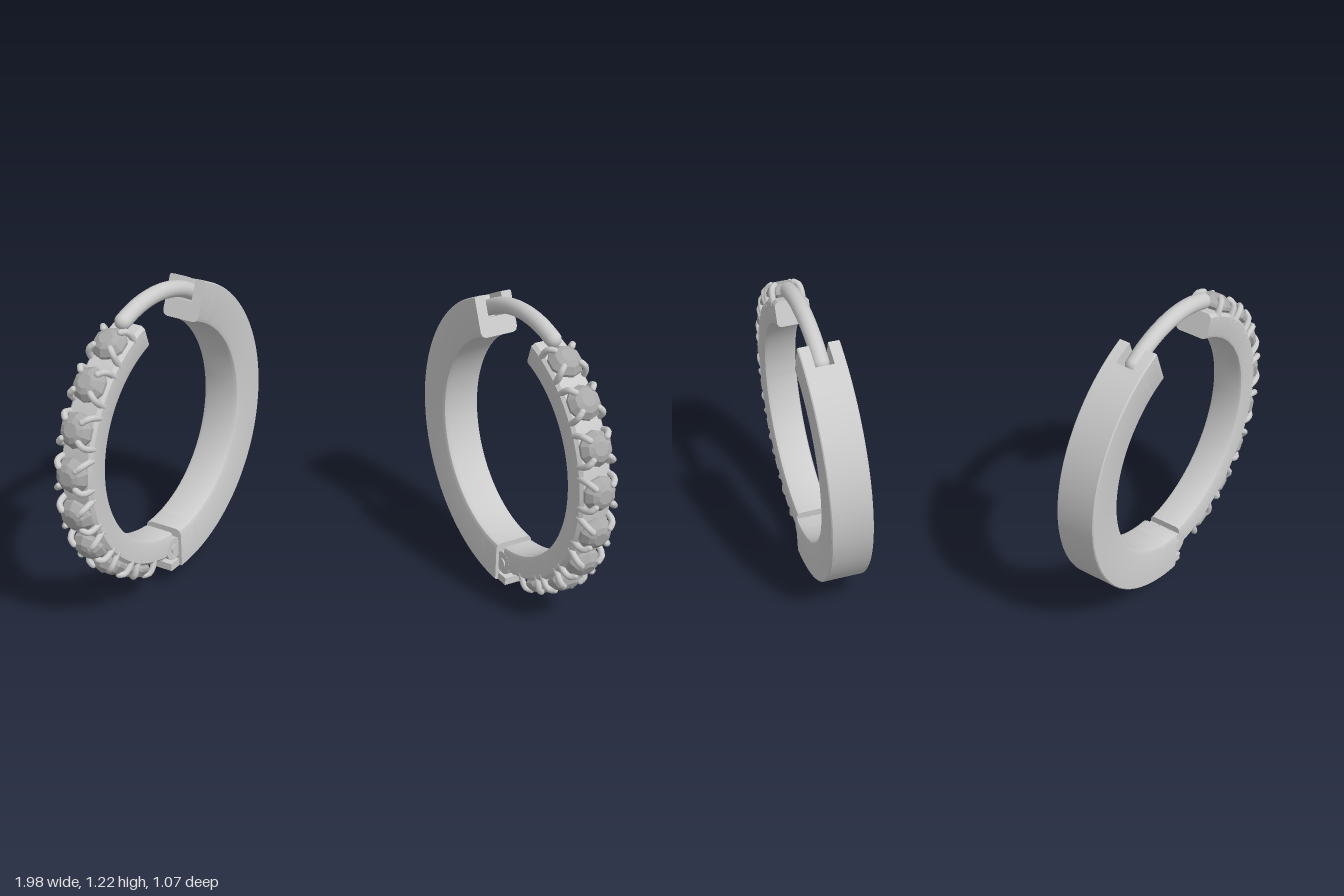
import * as THREE from 'three';
import { toCreasedNormals } from 'three/addons/utils/BufferGeometryUtils.js';

const metal = new THREE.MeshStandardMaterial({ color: 0xcccccc });
const metalThin = new THREE.MeshStandardMaterial({ color: 0xcccccc, side: THREE.DoubleSide });
const stone = new THREE.MeshStandardMaterial({ color: 0xaaaaaa, flatShading: true });
const rad = THREE.MathUtils.degToRad;

function add(parent, name, geometry, material = metal) {
  const mesh = new THREE.Mesh(geometry, material);
  mesh.name = name;
  parent.add(mesh);
  return mesh;
}

// Point in the hoop plane: angle 0 is the front, 90 the top; x is the hoop axis
const onHoop = (r, deg, x = 0) => new THREE.Vector3(x, r * Math.sin(rad(deg)), r * Math.cos(rad(deg)));

// Cross-section (radius, axial), counter-clockwise, with bevelled edges and an optional outer notch
function section(r0, r1, width, bevelIn, bevelOut, notchWidth = 0, notchDepth = 0) {
  const h = width / 2, n = notchWidth / 2, b = bevelIn, c = bevelOut;
  const pts = [[r0, h - b], [r0, -h + b], [r0 + b * 0.3, -h + b * 0.3], [r0 + b, -h], [r1 - c, -h], [r1, -h + c]];
  if (n) pts.push([r1, -n], [r1 - notchDepth, -n], [r1 - notchDepth, n], [r1, n]);
  pts.push([r1, h - c], [r1 - c, h], [r0 + b, h], [r0 + b * 0.3, h - b * 0.3]);
  return pts.map(p => new THREE.Vector2(...p));
}

// Sweep a cross-section along the hoop between two angles and close both ends
function arc(parent, name, pts, from, to) {
  const g = new THREE.Group();
  g.name = name;
  parent.add(g);
  const segments = Math.max(2, Math.ceil((to - from) / 2.5));
  const sweep = new THREE.LatheGeometry([...pts, pts[0]], segments, rad(-to), rad(to - from));
  sweep.rotateZ(-Math.PI / 2);
  add(g, name + 'Surface', toCreasedNormals(sweep, 0.6));
  for (const deg of [from, to]) {
    const s = Math.sin(rad(deg)), c = Math.cos(rad(deg));
    const cap = new THREE.ShapeGeometry(new THREE.Shape(pts));
    cap.applyMatrix4(new THREE.Matrix4().makeBasis(
      new THREE.Vector3(0, s, c), new THREE.Vector3(1, 0, 0), new THREE.Vector3(0, c, -s)));
    add(g, name + 'End', cap, metalThin);
  }
}

// Cut stone held by four claws leaning over its crown
function setStone(parent, deg) {
  const g = new THREE.Group();
  g.name = 'stoneSetting';
  g.position.copy(onHoop(0.525, deg));
  g.rotation.x = rad(90 - deg);
  parent.add(g);
  const profile = [[0, -0.06], [0.066, -0.004], [0.066, 0.008], [0.048, 0.033], [0.027, 0.043], [0, 0.043]];
  add(g, 'stone', new THREE.LatheGeometry(profile.map(p => new THREE.Vector2(...p)), 10), stone);
  for (const sx of [-1, 1]) for (const sz of [-1, 1]) {
    const path = new THREE.CatmullRomCurve3([[0.056, -0.04], [0.055, 0.005], [0.049, 0.025], [0.036, 0.033]]
      .map(([d, y]) => new THREE.Vector3(sx * d, y, sz * d)));
    add(g, 'claw', new THREE.TubeGeometry(path, 8, 0.012, 8));
    add(g, 'clawTip', new THREE.SphereGeometry(0.012, 8, 6)).position.copy(path.getPoint(1));
  }
}

function hinge(parent) {
  const g = new THREE.Group();
  g.name = 'hinge';
  g.position.set(0, -0.485, 0.028);
  parent.add(g);
  const barrel = (name, r, length, x) => {
    const geo = new THREE.CylinderGeometry(r, r, length, 24);
    geo.rotateZ(Math.PI / 2);
    add(g, name, geo).position.x = x;
  };
  for (const x of [-0.045, 0, 0.045]) barrel('knuckle', 0.045, 0.041, x);
  barrel('hingePin', 0.018, 0.142, 0);
  add(g, 'hingeLeaf', new THREE.BoxGeometry(0.13, 0.03, 0.07)).position.set(0, -0.073, -0.012);
  add(g, 'hingeWeb', new THREE.BoxGeometry(0.045, 0.06, 0.05)).position.set(0, -0.04, -0.005);
}

function earring() {
  const g = new THREE.Group();
  // Plain rear half, with a latch notch at the top and a small slot near the hinge
  const solid = section(0.415, 0.572, 0.157, 0.02, 0.004);
  arc(g, 'latchEnd', section(0.415, 0.572, 0.157, 0.02, 0.004, 0.07, 0.085), 113, 122);
  arc(g, 'rearHalf', solid, 122, 259);
  arc(g, 'rearSlot', section(0.415, 0.572, 0.157, 0.02, 0.004, 0.045, 0.03), 259, 261);
  arc(g, 'rearFoot', solid, 261, 270);

  // Slimmer front half carrying a row of stones
  arc(g, 'frontHalf', section(0.415, 0.512, 0.13, 0.015, 0.012), -85.5, 73);
  for (let i = 0; i < 8; i++) setStone(g, 59.5 - i * 18);
  hinge(g);

  // Round wire bridging the gap into the notch
  const points = [];
  for (let i = 0; i <= 8; i++) points.push(onHoop(0.54 - 0.018 * (i / 8) ** 2, 70 + i * 6));
  const wire = new THREE.CatmullRomCurve3(points);
  add(g, 'latchWire', new THREE.TubeGeometry(wire, 32, 0.031, 16));
  for (const t of [0, 1])
    add(g, 'latchWireTip', new THREE.SphereGeometry(0.031, 16, 12)).position.copy(wire.getPoint(t));
  return g;
}

export function createModel() {
  const model = new THREE.Group();
  model.name = 'hoopEarrings';
  for (const [name, x, y, yaw] of [['leftEarring', 0.69, 0.575, 26.7], ['rightEarring', -0.65, 0.65, -31]]) {
    const e = earring();
    e.name = name;
    e.position.set(x, y, 0);
    e.rotation.y = rad(yaw);
    model.add(e);
  }
  return model;
}
